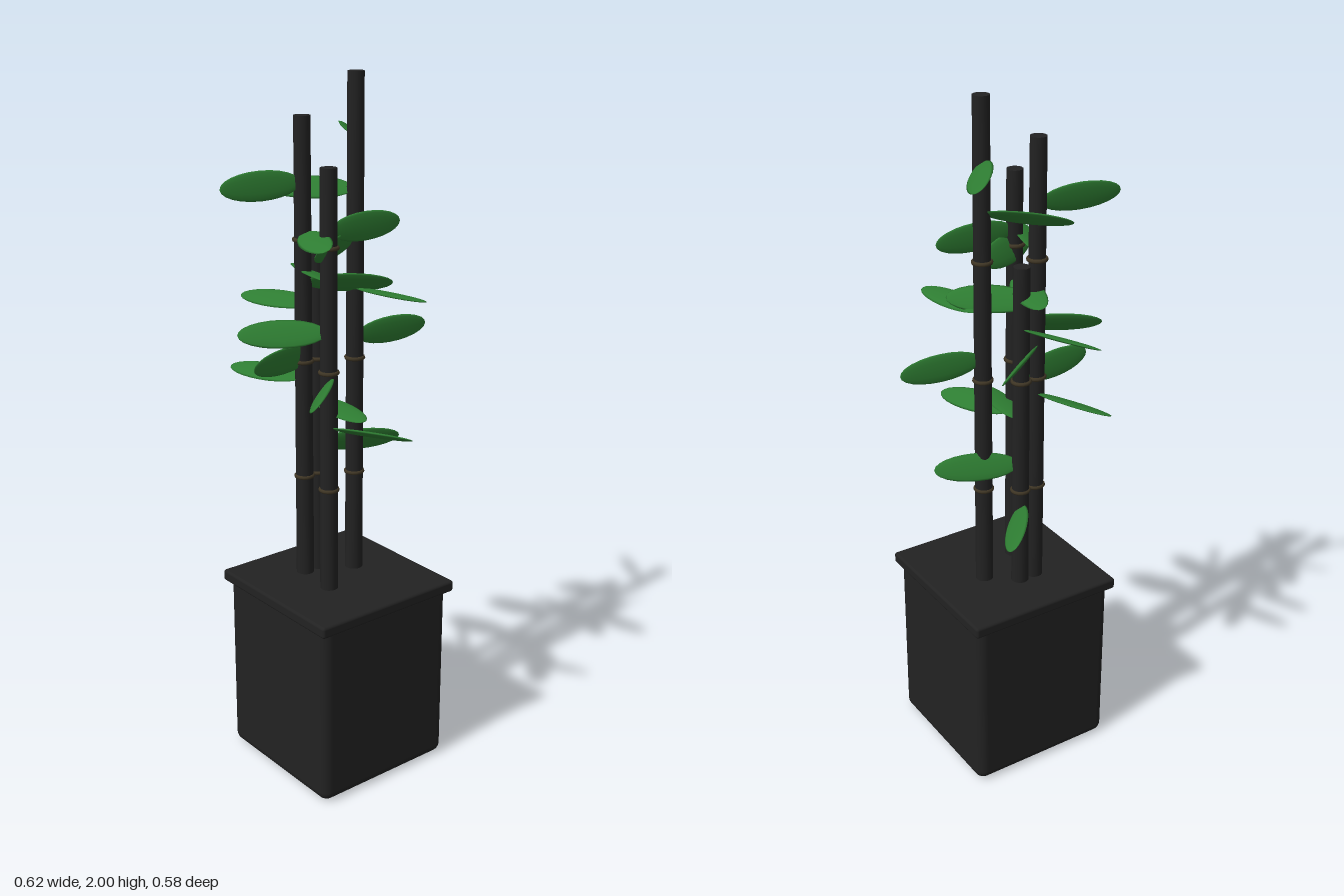
import * as THREE from 'three';
import { RoundedBoxGeometry } from 'three/addons/geometries/RoundedBoxGeometry.js';

function material(name, color) {
  const m = new THREE.MeshStandardMaterial({ color });
  m.name = name;
  return m;
}

export function createModel() {
  const charcoal = material('charcoal', 0x222222);
  const green = material('leaf green', 0x2e7d32);
  const brown = material('node brown', 0x3e3524);
  const model = new THREE.Group();
  model.name = 'pottedBamboo';

  function add(parent, name, geometry, mat, x, y, z) {
    const mesh = new THREE.Mesh(geometry, mat);
    mesh.name = name;
    mesh.position.set(x, y, z);
    parent.add(mesh);
    return mesh;
  }

  // Square pot with a thin overhanging lid
  const potX = -0.012, potZ = 0.024;
  add(model, 'potBody', new RoundedBoxGeometry(0.455, 0.56, 0.455, 4, 0.03), charcoal, potX, 0.28, potZ);
  add(model, 'potRim', new RoundedBoxGeometry(0.48, 0.034, 0.48, 3, 0.008), charcoal, potX, 0.555, potZ);

  // Flattened leaf, long along z
  const leafGeometry = new THREE.SphereGeometry(1, 12, 12);
  leafGeometry.rotateX(Math.PI / 2);
  leafGeometry.scale(0.04, 0.006, 0.12);

  // Node ring, lying flat
  const ringGeometry = new THREE.TorusGeometry(0.024, 0.006, 8, 16);
  ringGeometry.rotateX(Math.PI / 2);

  // Each stalk: position, top, height of its lowest leaf and that leaf's heading
  const stalks = [
    { x: -0.068, z: -0.057, top: 1.89, leafY: 1.167, heading: 201 },
    { x: 0.067, z: 0.002, top: 2.0, leafY: 1.28, heading: 85 },
    { x: -0.08, z: 0.071, top: 1.77, leafY: 1.055, heading: 28 },
    { x: -0.016, z: -0.062, top: 1.55, leafY: 0.823, heading: 142 },
  ];

  for (const s of stalks) {
    const group = new THREE.Group();
    group.name = 'bambooStalk';
    group.position.set(s.x, 0, s.z);
    model.add(group);

    const length = s.top - 0.54;
    add(group, 'stalk', new THREE.CylinderGeometry(0.023, 0.026, length, 16), charcoal, 0, 0.54 + length / 2, 0);

    for (const y of [0.875, 1.217, 1.56]) {
      if (y < s.top) add(group, 'nodeRing', ringGeometry, brown, 0, y, 0);
    }

    // Leaves spiral up the stalk and roll with their heading
    for (let i = 0; i < 5; i++) {
      const a = THREE.MathUtils.degToRad(s.heading - 74.6 * i);
      const leaf = add(group, 'leaf', leafGeometry, green,
        Math.sin(a) * 0.126, s.leafY + 0.137 * i, Math.cos(a) * 0.126);
      leaf.rotation.set(0, a, -a, 'YXZ');
    }
  }
  return model;
}
